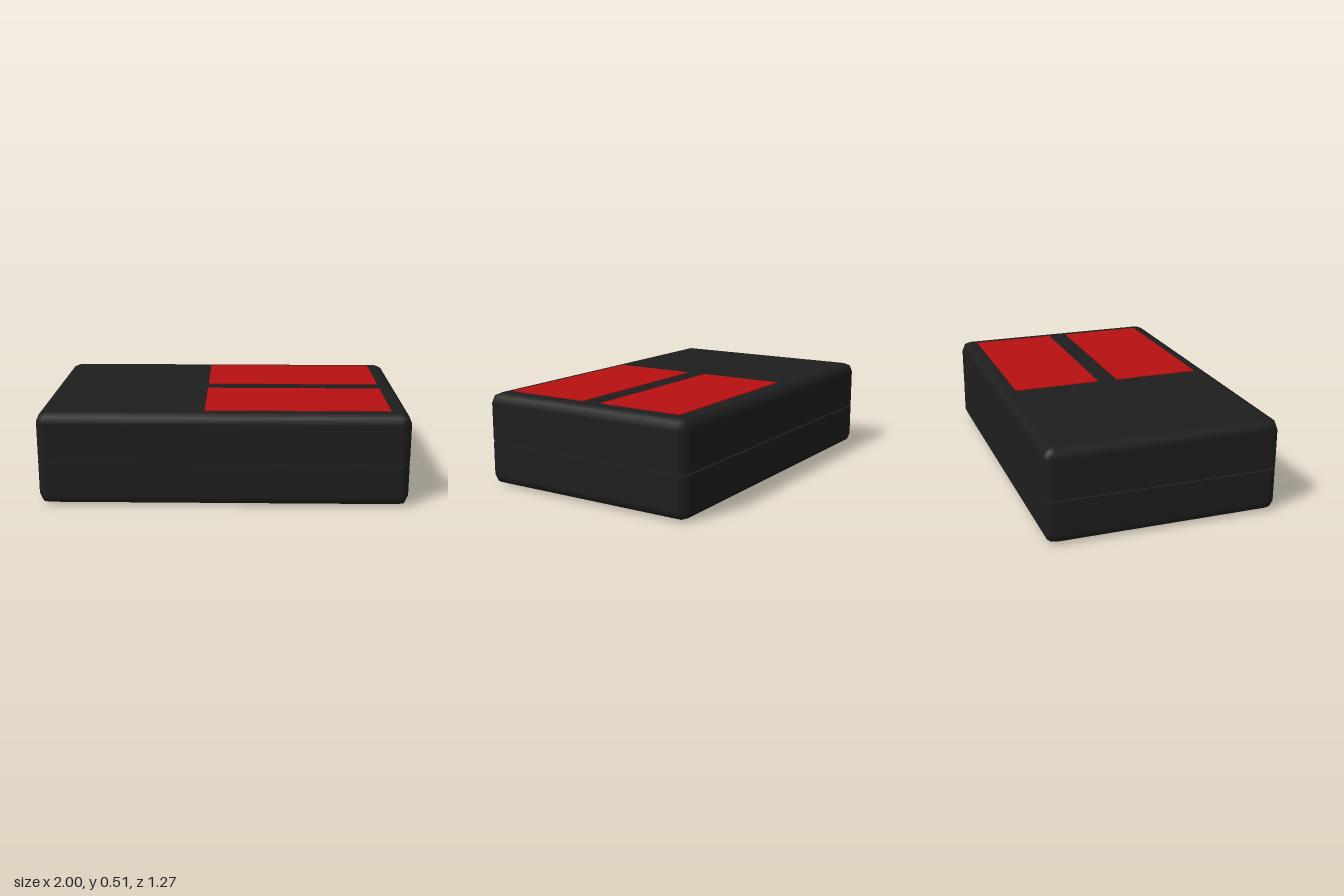
import * as THREE from 'three';

const HALF_X = 1, HALF_Z = 0.635, TOP = 0.51, R = 0.055;
const SEAM_LOW = 0.237, SEAM_HIGH = 0.246, SEAM_DEPTH = 0.018;
const STEPS = 2; // facets per rounded edge
const UP = Math.PI / 2;

// Lofts rounded-rectangle rings. Each row is [inset, y, normal tilt]; inset null closes to the centre.
function loft(rows) {
  const pos = [], nor = [], idx = [];
  const n = 4 * (STEPS + 1);
  for (const [inset, y, tilt] of rows) {
    for (let q = 0; q < 4; q++) {
      const sx = q === 0 || q === 3 ? 1 : -1, sz = q < 2 ? 1 : -1;
      for (let s = 0; s <= STEPS; s++) {
        const a = (q + s / STEPS) * UP, c = Math.cos(a), d = Math.sin(a);
        if (inset === null) pos.push(0, y, 0);
        else pos.push(sx * (HALF_X - R) + c * (R - inset), y, sz * (HALF_Z - R) + d * (R - inset));
        nor.push(c * Math.cos(tilt), Math.sin(tilt), d * Math.cos(tilt));
      }
    }
  }
  for (let r = 0; r < rows.length - 1; r++) {
    for (let j = 0; j < n; j++) {
      const a = r * n + j, b = r * n + (j + 1) % n;
      idx.push(a, a + n, b, b, a + n, b + n);
    }
  }
  const g = new THREE.BufferGeometry();
  g.setAttribute('position', new THREE.Float32BufferAttribute(pos, 3));
  g.setAttribute('normal', new THREE.Float32BufferAttribute(nor, 3));
  g.setIndex(idx);
  return g;
}

// Rounded edge rows between two tilts, around a centre height
function edge(cy, from, to) {
  return Array.from({ length: STEPS + 1 }, (_, i) => {
    const t = from + (to - from) * i / STEPS;
    return [R * (1 - Math.cos(t)), cy + R * Math.sin(t), t];
  });
}

export function createModel() {
  const model = new THREE.Group();
  const black = new THREE.MeshStandardMaterial({ color: 0x1e1e1e });
  const red = new THREE.MeshStandardMaterial({ color: 0xb81010 });

  const add = (name, geometry, material, parent = model) => {
    const mesh = new THREE.Mesh(geometry, material);
    mesh.name = name;
    parent.add(mesh);
    return mesh;
  };

  // Lower and upper halves of the case
  add('lowerShell', loft([[null, 0, -UP], ...edge(R, -UP, 0), [0, SEAM_LOW, 0]]), black);
  add('upperShell', loft([[0, SEAM_HIGH, 0], ...edge(TOP - R, 0, UP), [null, TOP, UP]]), black);

  // Recessed seam between the halves
  const seam = new THREE.Group();
  seam.name = 'seam';
  model.add(seam);
  add('seamFloor', loft([[0, SEAM_LOW, UP], [SEAM_DEPTH, SEAM_LOW, UP]]), black, seam);
  add('seamWall', loft([[SEAM_DEPTH, SEAM_LOW, 0], [SEAM_DEPTH, SEAM_HIGH, 0]]), black, seam);
  add('seamCeiling', loft([[SEAM_DEPTH, SEAM_HIGH, -UP], [0, SEAM_HIGH, -UP]]), black, seam);

  // Two thin raised panels on the top
  for (const side of [1, -1]) {
    const panel = add(side > 0 ? 'frontPanel' : 'backPanel', new THREE.BoxGeometry(0.994, 0.01, 0.486), red);
    panel.position.set(0.397, TOP, side * 0.3);
  }
  return model;
}
